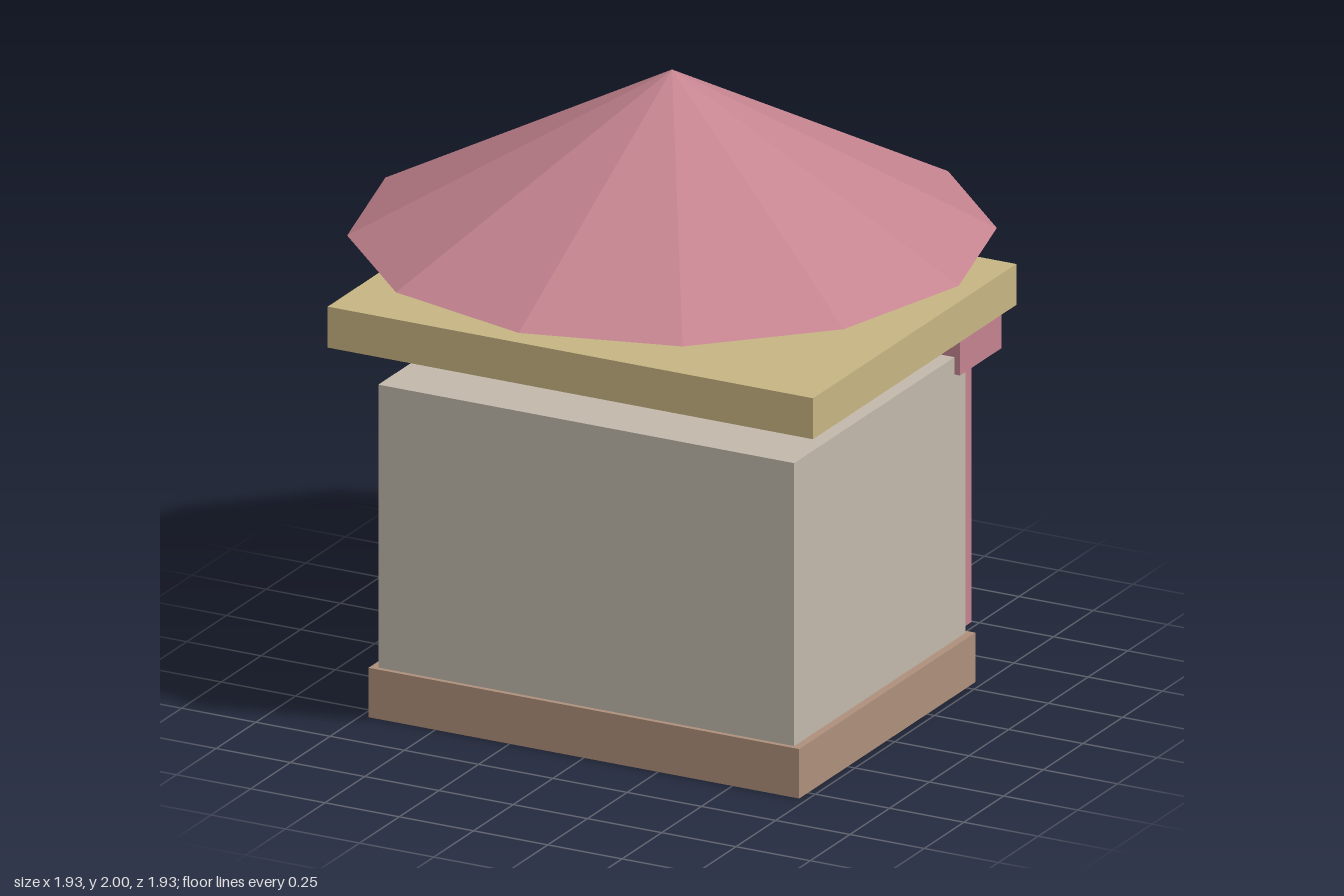
import * as THREE from 'three';

const mat = (name, color, flatShading = false) => {
  const m = new THREE.MeshStandardMaterial({ color, flatShading });
  m.name = name;
  return m;
};

export function createModel() {
  const group = new THREE.Group();
  group.name = 'marketStall';

  const pink = mat('rosePink', 0xc58490);
  const cream = mat('warmCream', 0xc4bbad);
  const gold = mat('paleGold', 0xc9b784);
  const brown = mat('woodBrown', 0xb0927d);
  const purple = mat('dustyPurple', 0x816c85);
  const glass = mat('paleBlue', 0xa1c0ca);
  const navy = mat('slateBlue', 0x4f6b8a);

  const add = (name, geometry, material) => {
    const mesh = new THREE.Mesh(geometry, material);
    mesh.name = name;
    group.add(mesh);
    return mesh;
  };
  // Box given by its minimum and maximum on each axis
  const box = (name, material, [x0, x1], [y0, y1], [z0, z1]) => {
    const mesh = add(name, new THREE.BoxGeometry(x1 - x0, y1 - y0, z1 - z0), material);
    mesh.position.set((x0 + x1) / 2, (y0 + y1) / 2, (z0 + z1) / 2);
  };
  const ball = (name, material, radius, x, y, z) => {
    add(name, new THREE.SphereGeometry(radius, 20, 14), material).position.set(x, y, z);
  };

  // Foundation, walls and the slab under the roof
  box('foundation', brown, [-0.725, 0.725], [0, 0.157], [-0.555, 0.555]);
  box('walls', cream, [-0.7, 0.7], [0.157, 1.055], [-0.54, 0.54]);
  box('eavesSlab', gold, [-0.817, 0.817], [1.185, 1.315], [-0.64, 0.64]);

  // Twelve-sided roof
  const roof = new THREE.ConeGeometry(0.965, 0.515, 12).toNonIndexed();
  roof.computeVertexNormals();
  add('roof', roof, pink).position.y = 1.7425;

  // Striped awning on the shop side
  for (let i = 0; i < 8; i++) {
    const x = -0.64 + i * 0.1815;
    box('awningStripe', i % 2 ? pink : cream, [x - 0.088, x + 0.088], [1.0, 1.165], [-0.73, -0.47]);
  }

  // Posts and windows, mirrored
  for (const s of [-1, 1]) {
    const cx = s * 0.455;
    const across = (c, w) => [c - w / 2, c + w / 2];
    box('post', pink, across(s * 0.66, 0.07), [0.175, 1.0], [-0.585, -0.535]);
    box('windowFrame', cream, across(cx, 0.21), [0.585, 0.93], [-0.575, -0.535]);
    box('windowGlass', glass, across(cx, 0.16), [0.645, 0.9], [-0.6, -0.57]);
    box('windowBar', cream, across(cx, 0.025), [0.655, 0.895], [-0.63, -0.595]);
    ball('lampBulb', gold, 0.052, s * 0.225, 0.977, -0.66);
  }

  // Door, sign board and counter
  box('door', purple, [-0.19, 0.19], [0.13, 0.695], [-0.575, -0.535]);
  box('signBoard', navy, [-0.435, 0.435], [0.9, 1.0], [-0.625, -0.585]);
  box('counter', brown, [-0.42, 0.42], [0.165, 0.365], [-0.8, -0.585]);

  // Wares on the counter
  [pink, gold, glass, purple].forEach((m, i) =>
    ball('wareBall', m, 0.075, -0.33 + i * 0.22, 0.405, -0.67));

  return group;
}
